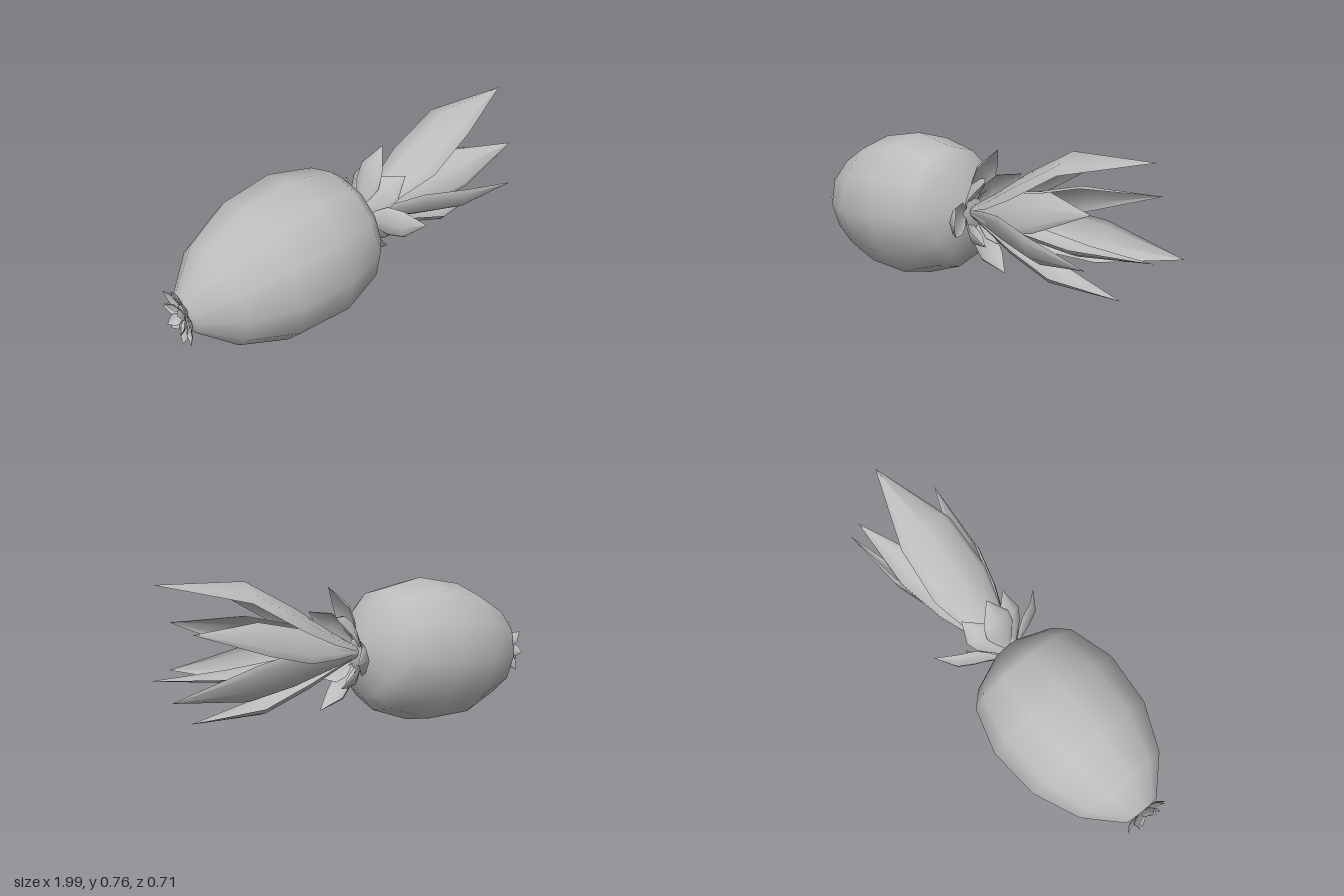
import * as THREE from 'three';

const grey = new THREE.MeshStandardMaterial({ color: 0xbcbcbc, side: THREE.DoubleSide });
grey.name = 'grey';

// A leaf: a folded channel from base to tip, its ridge turned to the outward side.
const STATIONS = [
  // along, width, bow
  [0, 0.25, 0], [0.16, 0.64, 0.25], [0.36, 1, 0.65], [0.63, 0.92, 1], [1, 0, 0],
];
const SECTION = [[-1, 1], [-0.8, 0.5], [0, 0], [0.8, 0.5], [1, 1]]; // side, depth

function leaf(name, base, tip, outward, width, depth, bow) {
  const a = new THREE.Vector3(...base);
  const b = new THREE.Vector3(...tip);
  const dir = b.clone().sub(a).normalize();
  const out = new THREE.Vector3(...outward);
  out.addScaledVector(dir, -out.dot(dir)).normalize();
  const side = new THREE.Vector3().crossVectors(out, dir);
  const positions = [];
  const index = [];
  const n = SECTION.length;
  STATIONS.forEach(([t, w, lift], i) => {
    SECTION.forEach(([u, d], j) => {
      const p = a.clone().lerp(b, t)
        .addScaledVector(out, lift * bow - d * depth * w)
        .addScaledVector(side, u * width * w);
      positions.push(p.x, p.y, p.z);
      if (i && j) {
        const k = i * n + j;
        index.push(k - n - 1, k - 1, k - n, k - n, k - 1, k);
      }
    });
  });
  const g = new THREE.BufferGeometry();
  g.setAttribute('position', new THREE.Float32BufferAttribute(positions, 3));
  g.setIndex(index);
  g.computeVertexNormals();
  const mesh = new THREE.Mesh(g, grey);
  mesh.name = name;
  return mesh;
}

export function createModel() {
  const model = new THREE.Group();
  model.name = 'pineapple';

  // Fruit body, a twelve-sided lathe lying on its side with a slight tilt
  const profile = [
    [0, -0.612], [0.09, -0.605], [0.237, -0.457], [0.332, -0.246], [0.354, 0],
    [0.294, 0.213], [0.228, 0.279], [0.085, 0.342], [0, 0.345],
  ].map(([r, y]) => new THREE.Vector2(r, y));
  const body = new THREE.Mesh(new THREE.LatheGeometry(profile, 12), grey);
  body.name = 'fruitBody';
  body.rotation.z = -Math.PI / 2 + 0.096;
  body.position.set(-0.335, 0.353, 0);
  model.add(body);

  // Long crown leaves: tip, outward (y, z), half width, depth, bow
  const crown = new THREE.Group();
  crown.name = 'crown';
  const longLeaves = [
    [[0.965, 0.755, 0], [1, 0], 0.148, 0.09, 0.125],
    [[0.825, 0.565, 0.21], [0.6, 0.8], 0.105, 0.055, 0.05],
    [[0.885, 0.575, -0.19], [0.75, -0.65], 0.1, 0.055, 0.055],
    [[0.825, 0.35, 0.237], [-0.6, 0.8], 0.095, 0.05, 0.055],
    [[0.99, 0.325, -0.215], [-0.5, -0.85], 0.105, 0.055, 0.055],
    [[0.835, 0.163, 0], [-1, 0], 0.088, 0.05, 0.08],
    [[0.99, 0.365, 0.02], [-1, 0.1], 0.08, 0.04, 0.05],
    [[0.3, 0.51, 0], [1, 0], 0.05, 0.03, 0.02],
  ];
  for (const [tip, [y, z], w, d, bow] of longLeaves) {
    crown.add(leaf('longLeaf', [0.01, 0.38 + 0.03 * y, 0.03 * z], tip, [0, y, z], w, d, bow));
  }

  // Short leaves spreading around the foot of the crown
  const shortLeaves = [
    [[0.155, 0.695, 0], [1, 0]],
    [[0.19, 0.57, 0.12], [0.8, 0.6]],
    [[0.19, 0.57, -0.12], [0.8, -0.6]],
    [[0.17, 0.39, 0.288], [0, 1]],
    [[0.19, 0.39, -0.295], [0, -1]],
    [[0.17, 0.26, 0.09], [-0.7, 0.7]],
    [[0.17, 0.25, -0.13], [-0.7, -0.7]],
    [[0.205, 0.123, 0], [-1, 0]],
  ];
  for (const [tip, [y, z]] of shortLeaves) {
    crown.add(leaf('shortLeaf', [0.0, 0.38 + 0.06 * y, 0.06 * z], tip, [-1, y, z], 0.075, 0.035, 0.04));
  }
  model.add(crown);

  // Small star of sepals at the blunt end
  const star = new THREE.Group();
  star.name = 'endSepals';
  for (let i = 0; i < 8; i++) {
    const a = (i / 8) * Math.PI * 2;
    const y = Math.cos(a);
    const z = Math.sin(a);
    star.add(leaf('sepal', [-0.935, 0.29 + 0.03 * y, 0.03 * z],
      [-0.975 - 0.01 * y, 0.287 + 0.145 * y, 0.112 * z], [1, 0.5 * y, 0.5 * z], 0.032, 0.014, 0.01));
    if (i % 2) {
      star.add(leaf('innerSepal', [-0.94, 0.29 + 0.015 * y, 0.015 * z],
        [-0.995, 0.29 + 0.075 * y, 0.075 * z], [1, y, z], 0.026, 0.012, 0.01));
    }
  }
  model.add(star);
  return model;
}
